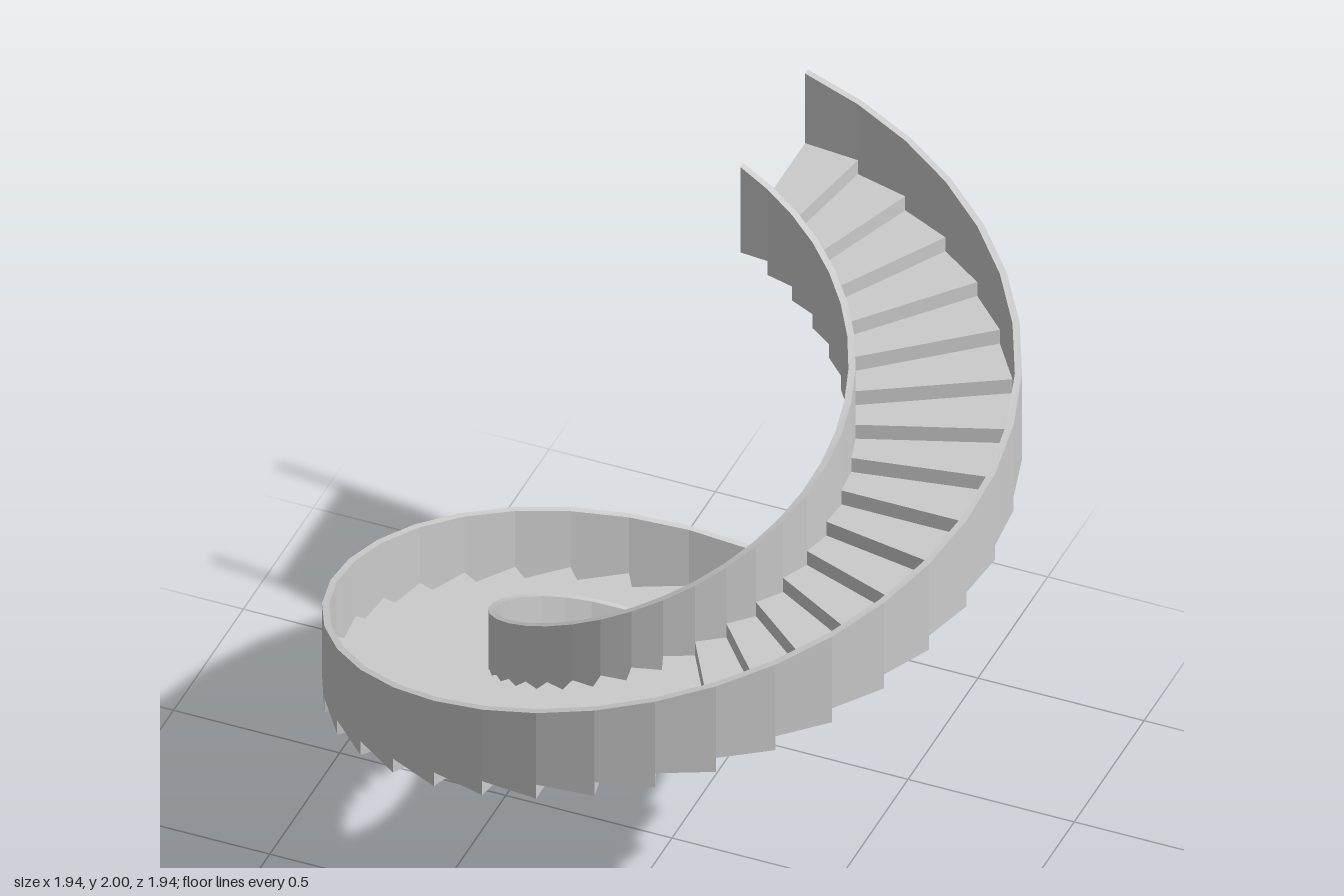
import * as THREE from 'three';
import { mergeGeometries } from 'three/addons/utils/BufferGeometryUtils.js';

const STEPS = 36;
const TURN = (Math.PI * 2) / STEPS;
const WALL_TOP = 0.25;                 // wall height above the start of each step
const RISE = (2 - WALL_TOP) / STEPS;
const TREAD = 0.055;                   // slightly thicker than the rise, so steps overlap

// Box bent into the i-th sector of the turn: flat underside, top rising from top0 to top1.
function sector(i, rIn, rOut, top0, top1) {
  const g = new THREE.BoxGeometry(1, 1, 1);
  const p = g.attributes.position;
  for (let k = 0; k < p.count; k++) {
    const r = p.getX(k) < 0 ? rIn : rOut;
    const atStart = p.getZ(k) > 0;
    const a = (atStart ? i : i + 1) * TURN;
    const y = i * RISE + (p.getY(k) < 0 ? 0 : atStart ? top0 : top1);
    p.setXYZ(k, -r * Math.sin(a), y, -r * Math.cos(a));
  }
  const flat = g.toNonIndexed();
  flat.computeVertexNormals();
  return flat;
}

export function createModel() {
  const group = new THREE.Group();
  group.name = 'spiralStaircase';
  const material = new THREE.MeshStandardMaterial({ color: 0xcccccc, flatShading: true });
  const add = (name, geometry) => {
    const mesh = new THREE.Mesh(geometry, material);
    mesh.name = name;
    group.add(mesh);
  };
  const indices = Array.from({ length: STEPS }, (_, i) => i);

  // Wedge-shaped treads
  const steps = new THREE.Group();
  steps.name = 'steps';
  for (const i of indices) {
    const step = new THREE.Mesh(sector(i, 0.51, 0.952, TREAD, TREAD), material);
    step.name = `step${i + 1}`;
    steps.add(step);
  }
  group.add(steps);

  // Solid side walls: stepped underneath, sloping smoothly on top
  const wall = (rIn, rOut) =>
    mergeGeometries(indices.map((i) => sector(i, rIn, rOut, WALL_TOP, WALL_TOP + RISE)));
  add('innerWall', wall(0.49, 0.51));
  add('outerWall', wall(0.952, 0.972));

  return group;
}
